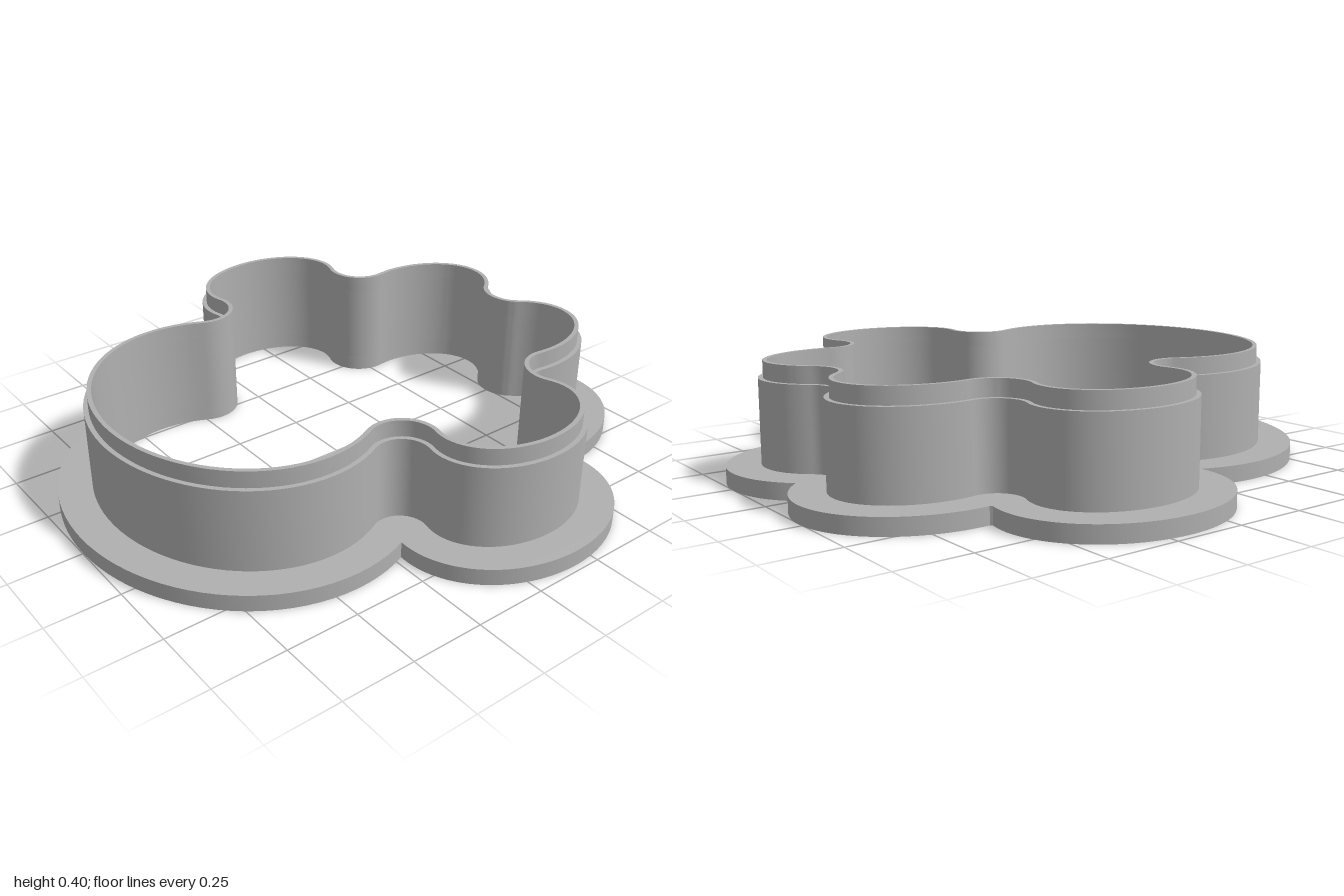
import * as THREE from 'three';
import { toCreasedNormals } from 'three/addons/utils/BufferGeometryUtils.js';

const FILLET = 0.12;

// Rounded lobes of the paw outline, counter-clockwise (drawn with up = back)
const lobes = [
  { x: 0, y: -0.42, rx: 0.513, ry: 0.433 },     // main pad
  { x: 0.645, y: 0.175, rx: 0.188, ry: 0.255 }, // left outer toe
  { x: 0.23, y: 0.6, rx: 0.195, ry: 0.258 },    // left inner toe
  { x: -0.23, y: 0.6, rx: 0.195, ry: 0.258 },   // right inner toe
  { x: -0.645, y: 0.175, rx: 0.188, ry: 0.255 } // right outer toe
];
// Rough fillet centres between each lobe and the next
const guesses = [[0.575, -0.19], [0.54, 0.54], [0, 0.85], [-0.54, 0.54], [-0.575, -0.19]];

const onLobe = (l, t) => ({
  p: new THREE.Vector2(l.x + l.rx * Math.cos(t), l.y + l.ry * Math.sin(t)),
  n: new THREE.Vector2(Math.cos(t) / l.rx, Math.sin(t) / l.ry).normalize()
});

// Angle of the point on a lobe nearest to c
function nearest(l, c) {
  let best = 0, min = Infinity;
  for (let i = 0; i < 2400; i++) {
    const t = (i / 2400) * Math.PI * 2;
    const d = onLobe(l, t).p.distanceToSquared(c);
    if (d < min) { min = d; best = t; }
  }
  return best;
}

// Inner outline as points with outward normals: lobe arcs joined by round fillets
function makeOutline() {
  const TAU = Math.PI * 2;
  const joints = guesses.map(([x, y], i) => {
    const a = lobes[i], b = lobes[(i + 1) % lobes.length];
    const c = new THREE.Vector2(x, y);
    for (let k = 0; k < 60; k++) {
      for (const l of [a, b]) {
        const foot = onLobe(l, nearest(l, c)).p;
        c.sub(foot).setLength(FILLET).add(foot);
      }
    }
    return { c, ta: nearest(a, c), tb: nearest(b, c) };
  });
  const out = [];
  lobes.forEach((l, i) => {
    const joint = joints[i], prev = joints[(i + 4) % 5];
    const sweep = (joint.ta - prev.tb + TAU) % TAU;
    const steps = 56;
    for (let k = 0; k <= steps; k++) out.push(onLobe(l, prev.tb + (sweep * k) / steps));

    const next = lobes[(i + 1) % 5];
    const from = onLobe(l, joint.ta).p.sub(joint.c).angle();
    const to = onLobe(next, joint.tb).p.sub(joint.c).angle();
    const turn = (from - to + TAU) % TAU;
    for (let k = 1; k < 20; k++) {
      const a = from - (turn * k) / 20;
      const dir = new THREE.Vector2(Math.cos(a), Math.sin(a));
      out.push({ p: joint.c.clone().addScaledVector(dir, FILLET), n: dir.negate() });
    }
  });
  return out;
}

// Parallel outline at distance d, dropping points where it would cross itself
function offset(outline, d) {
  return outline
    .map(({ p, n }) => p.clone().addScaledVector(n, d))
    .filter(q => outline.every(({ p }) => q.distanceTo(p) > d - 0.002));
}

export function createModel() {
  const group = new THREE.Group();
  group.name = 'pawCutter';
  const grey = new THREE.MeshStandardMaterial({ color: 0xb0b0b0 });
  grey.name = 'grey';
  const outline = makeOutline();

  // Ring between the inner outline and a parallel outline, from y0 to y1
  function ring(name, d, y0, y1) {
    const shape = new THREE.Shape(offset(outline, d));
    shape.holes.push(new THREE.Path(outline.map(o => o.p.clone()).reverse()));
    const geo = new THREE.ExtrudeGeometry(shape, { depth: y1 - y0, bevelEnabled: false });
    geo.rotateX(-Math.PI / 2);
    geo.translate(0, y0, 0);
    const mesh = new THREE.Mesh(toCreasedNormals(geo, Math.PI / 6), grey);
    mesh.name = name;
    group.add(mesh);
  }

  ring('baseFlange', 0.145, 0, 0.057);
  ring('wall', 0.031, 0.057, 0.343);
  ring('cuttingLip', 0.015, 0.343, 0.4);
  return group;
}
